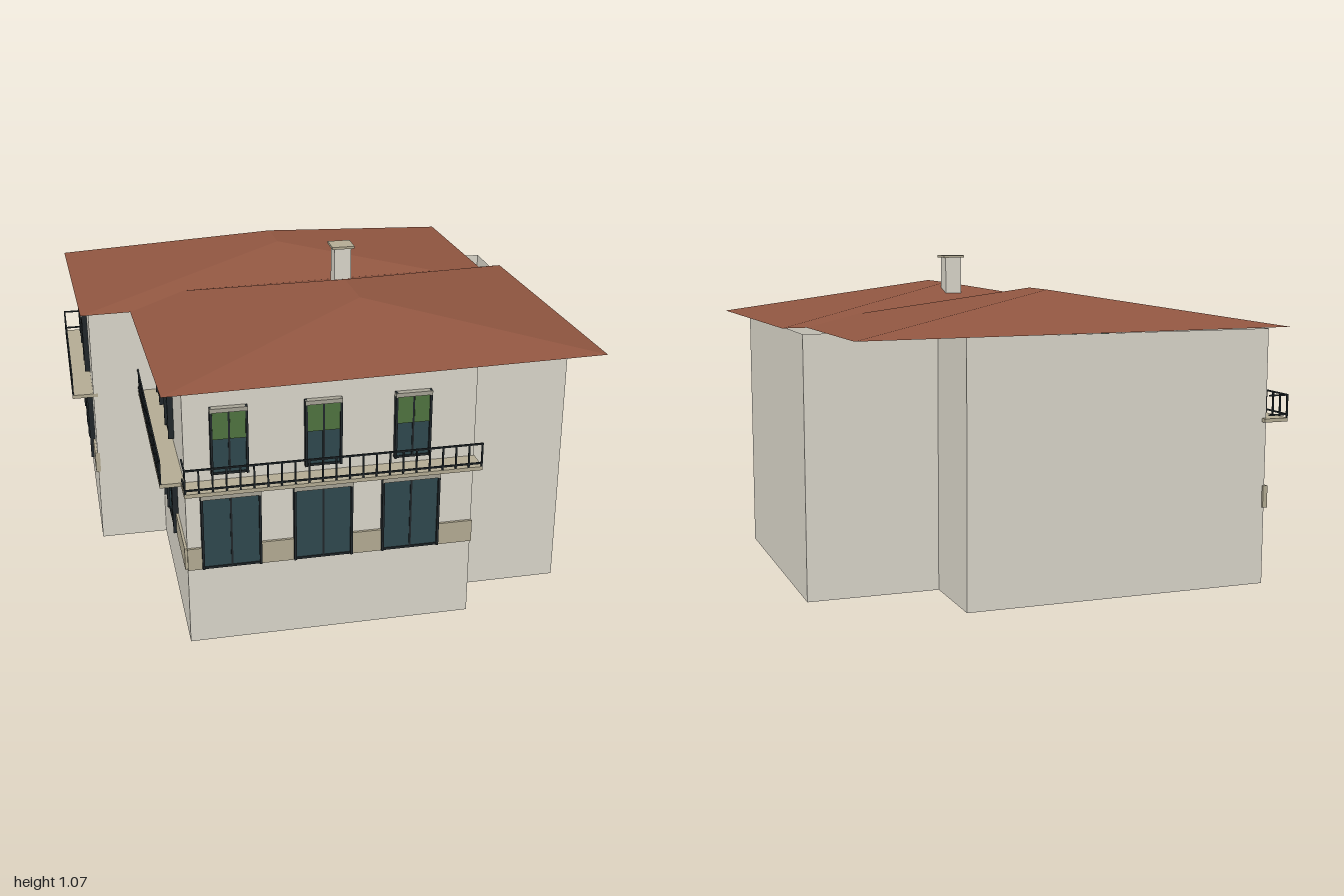
import * as THREE from 'three';

const mat = (color, extra = {}) => new THREE.MeshStandardMaterial({ color, flatShading: true, ...extra });
const M = {
  wall: mat(0xdad6ca, { side: THREE.DoubleSide }), trim: mat(0xb3ab93), frame: mat(0xa5a294),
  roof: mat(0x8f5540, { side: THREE.DoubleSide }),
  glass: mat(0x2f484e), shutter: mat(0x4f7340), dark: mat(0x20272a),
};

// Box given by its minimum and maximum on each axis
function box(parent, name, material, [x0, x1], [y0, y1], [z0, z1]) {
  const mesh = new THREE.Mesh(new THREE.BoxGeometry(x1 - x0, y1 - y0, z1 - z0), material);
  mesh.position.set((x0 + x1) / 2, (y0 + y1) / 2, (z0 + z1) / 2);
  mesh.name = name;
  parent.add(mesh);
}

// Hip roof with a short central ridge and a flat underside
function hipRoof(parent, name, [x0, x1], [z0, z1], [r0, r1]) {
  const y = 0.853, top = 0.972, zm = (z0 + z1) / 2;
  const A = [x0, y, z1], B = [x1, y, z1], C = [x1, y, z0], D = [x0, y, z0];
  const L = [r0, top, zm], R = [r1, top, zm];
  const faces = [A, B, R, A, R, L, B, C, R, C, D, L, C, L, R, D, A, L, A, D, C, A, C, B];
  const geo = new THREE.BufferGeometry();
  geo.setAttribute('position', new THREE.Float32BufferAttribute(faces.flat(), 3));
  geo.computeVertexNormals();
  const mesh = new THREE.Mesh(geo, M.roof);
  mesh.name = name;
  parent.add(mesh);
}

// Open shell of upright walls following a closed outline of [x, z] corners
function wallShell(parent, outline, height) {
  const pos = [];
  outline.forEach(([x0, z0], i) => {
    const [x1, z1] = outline[(i + 1) % outline.length];
    pos.push(x0, 0, z0, x1, 0, z1, x1, height, z1, x0, 0, z0, x1, height, z1, x0, height, z0);
  });
  const geo = new THREE.BufferGeometry();
  geo.setAttribute('position', new THREE.Float32BufferAttribute(pos, 3));
  geo.computeVertexNormals();
  const mesh = new THREE.Mesh(geo, M.wall);
  mesh.name = 'walls';
  parent.add(mesh);
}

// Frame, glazing and bars of one opening centred on x
function windowUnit(parent, name, x, w, y0, y1) {
  const g = new THREE.Group();
  g.name = name;
  g.position.x = x;
  parent.add(g);
  const h = w / 2, t = 0.007;
  box(g, 'glass', M.glass, [-h + t, h - t], [y0, y1 - t], [0, 0.01]);
  for (const s of [-1, 1]) {
    const e = s * (h - t / 2);
    box(g, 'jamb', M.dark, [e - t / 2, e + t / 2], [y0, y1], [0, 0.018]);
  }
  box(g, 'lintel', M.frame, [-h, h], [y1 - 0.013, y1], [0, 0.02]);
  box(g, 'mullion', M.dark, [-0.003, 0.003], [y0, y1 - 0.013], [0, 0.013]);
  box(g, 'bottomRail', M.dark, [-h + t, h - t], [y0, y0 + 0.007], [0, 0.013]);
  return g;
}

// Slab with a thin railing along its front and left end
function balcony(parent, x0, x1, depth) {
  const g = new THREE.Group();
  g.name = 'balcony';
  parent.add(g);
  box(g, 'balconySlab', M.trim, [x0, x1], [0.541, 0.553], [-0.015, depth]);
  const r = 0.005, zf = depth - r;
  for (const y of [0.562, 0.626]) {
    box(g, 'handrail', M.dark, [x0, x1], [y, y + r], [zf, depth]);
    box(g, 'sideRail', M.dark, [x0, x0 + r], [y, y + r], [0, depth]);
  }
  const n = Math.round((x1 - x0) / 0.042);
  for (let i = 0; i <= n; i++) {
    const x = x0 + (x1 - x0 - r) * i / n;
    box(g, 'baluster', M.dark, [x, x + r], [0.553, 0.628], [zf, depth]);
  }
}

// One decorated wall: plinth band, two storeys of windows, balcony
function facade(parent, name, position, turn, [x0, x1], centres, depth) {
  const g = new THREE.Group();
  g.name = name;
  g.position.set(...position);
  g.rotation.y = turn;
  parent.add(g);
  box(g, 'plinthBand', M.trim, [x0, x1], [0.257, 0.33], [-0.008, 0.008]);
  for (const x of centres) {
    windowUnit(g, 'lowerWindow', x, 0.183, 0.26, 0.51);
    box(g, 'windowBacking', M.trim, [x - 0.09, x + 0.09], [0.26, 0.505], [-0.008, 0]);
    const upper = windowUnit(g, 'upperWindow', x, 0.113, 0.575, 0.79);
    for (const c of [-0.026, 0.026]) box(upper, 'shutter', M.shutter, [c - 0.023, c + 0.023], [0.69, 0.777], [0, 0.015]);
  }
  balcony(g, x0 - 0.01, x1, depth);
}

export function createModel() {
  const model = new THREE.Group();
  model.name = 'house';

  // Walls, all turned by thirty degrees
  const body = new THREE.Group();
  body.name = 'body';
  body.rotation.y = -Math.PI / 6;
  model.add(body);
  wallShell(body, [
    [-0.637, 0.773], [-0.013, 0.773], [-0.013, 0.548], [0.709, 0.548], [0.709, -0.345],
    [0.553, -0.345], [0.553, -0.695], [-0.357, -0.695], [-0.357, -0.26], [-0.637, -0.26],
  ], 0.846);

  facade(body, 'leftWingFront', [0, 0, 0.773], 0, [-0.645, -0.013], [-0.505, -0.222], 0.07);
  facade(body, 'rightWingFront', [0, 0, 0.548], 0, [-0.02, 0.709], [0.12, 0.39], 0.073);
  facade(body, 'rightWingSide', [0.709, 0, 0], Math.PI / 2, [-0.548, 0.347], [-0.413, -0.13, 0.145], 0.08);

  // Roofs, turned slightly less than the walls
  const roofs = new THREE.Group();
  roofs.name = 'roofs';
  roofs.rotation.y = -28 * Math.PI / 180;
  model.add(roofs);
  hipRoof(roofs, 'leftRoof', [-0.71, 0.006], [-0.653, 0.8], [-0.42, -0.28]);
  hipRoof(roofs, 'rightRoof', [-0.175, 0.738], [-0.733, 0.636], [0.19, 0.373]);

  // Chimney
  const chimney = new THREE.Group();
  chimney.name = 'chimney';
  chimney.position.set(0.127, 0, 0.005);
  chimney.rotation.y = -Math.PI / 6;
  model.add(chimney);
  box(chimney, 'chimneyStack', M.wall, [-0.028, 0.028], [0.86, 1.062], [-0.028, 0.028]);
  box(chimney, 'chimneyCap', M.trim, [-0.037, 0.037], [1.062, 1.07], [-0.037, 0.037]);

  return model;
}
